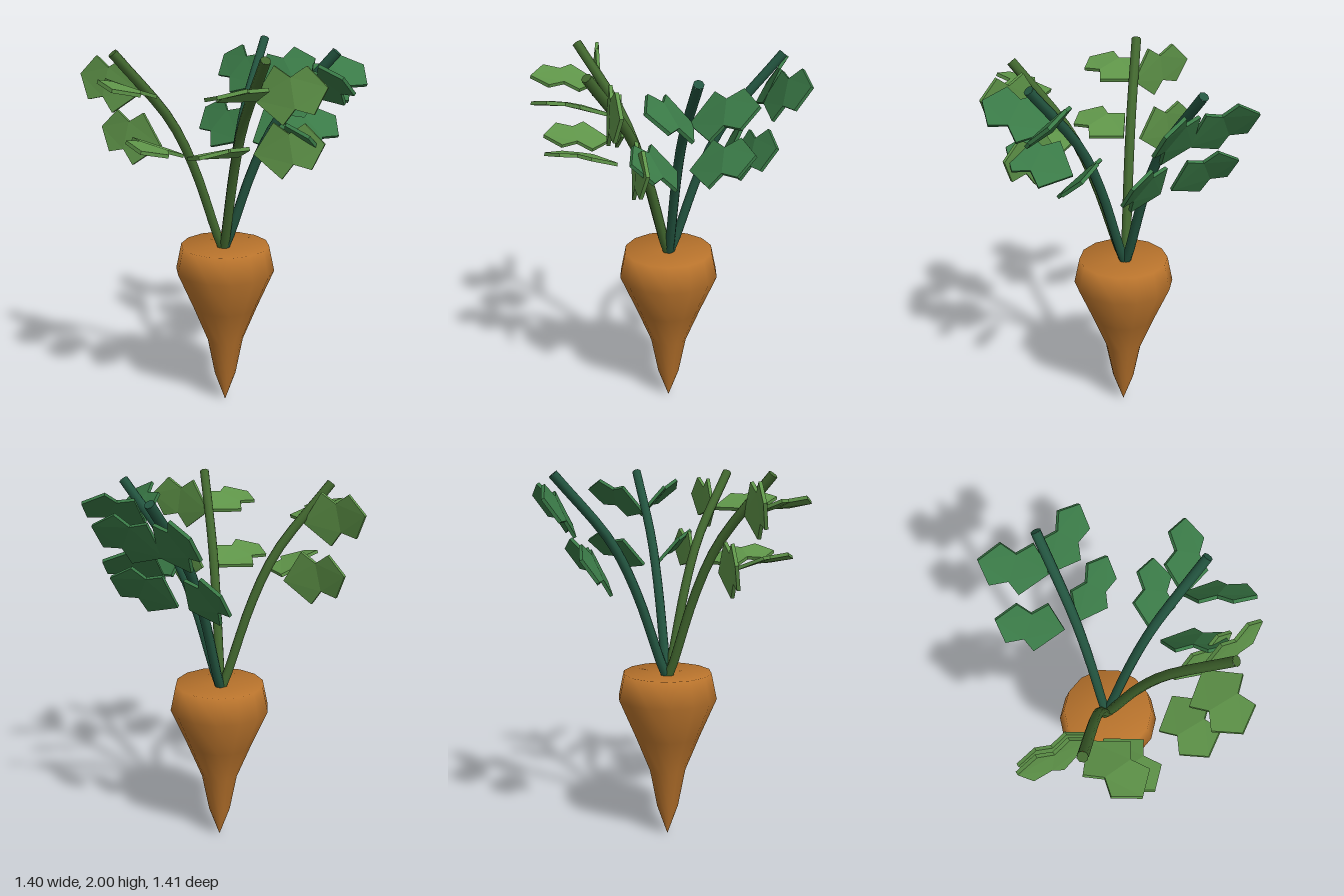
import * as THREE from 'three';

const V = (x, y, z) => new THREE.Vector3(x, y, z);
const mat = color => new THREE.MeshStandardMaterial({ color });

// Thin five-pointed leaf, base at the origin, growing along +y, face towards +z
function leafGeometry() {
  const half = [[0.14, 0.11], [0.075, 0.18], [0.113, 0.265]];
  const outline = [[0, -0.02], ...half, [0, 0.345], ...half.map(([x, y]) => [-x, y]).reverse()];
  const shape = new THREE.Shape(outline.map(([x, y]) => new THREE.Vector2(x, y)));
  const geo = new THREE.ExtrudeGeometry(shape, { depth: 0.018, bevelEnabled: false });
  const p = geo.attributes.position;
  // arch the blade along its length
  for (let i = 0; i < p.count; i++) {
    const s = THREE.MathUtils.clamp(p.getY(i) / 0.345, 0, 1);
    p.setZ(i, p.getZ(i) - 0.009 + 0.02 * Math.sin(Math.PI * s));
  }
  geo.computeVertexNormals();
  return geo;
}

// Place a leaf at a base point, along a direction and facing a normal
function makeLeaf(geo, material, base, dir, normal) {
  const d = dir.clone().normalize();
  const x = d.clone().cross(normal).normalize();
  const n = x.clone().cross(d);
  const leaf = new THREE.Mesh(geo, material);
  leaf.name = 'leaf';
  leaf.applyMatrix4(new THREE.Matrix4().makeBasis(x, d, n).setPosition(base));
  return leaf;
}

// Mirror leaf vectors across the upright plane with the given heading
function mirrored(leaves, degrees) {
  const a = THREE.MathUtils.degToRad(degrees);
  const across = V(-Math.sin(a), 0, Math.cos(a));
  return leaves.map(vectors => vectors.map(v => v.clone().reflect(across)));
}

export function createModel() {
  const model = new THREE.Group();
  model.name = 'carrot';

  // Root: tapered body with a slightly sunken crown
  const profile = [[0, 0], [0.06, 0.17], [0.1, 0.38], [0.18, 0.58], [0.27, 0.79], [0.24, 0.932], [0, 0.915]];
  const root = new THREE.Mesh(
    new THREE.LatheGeometry(profile.map(([r, y]) => new THREE.Vector2(r, y)), 14), mat(0xb8732c));
  root.name = 'root';
  root.position.z = -0.015;
  model.add(root);

  const leafGeo = leafGeometry();
  const paleLeaf = mat(0x5f9549), darkLeaf = mat(0x3a7a47);
  const paleStem = mat(0x42682f), darkStem = mat(0x235540);

  // Stem curve as [distance from centre, height]
  const stemPath = [[0.0, 0.9], [0.03, 0.97], [0.17, 1.38], [0.3, 1.64], [0.59, 1.985]];

  // Per leaf: direction, normal, offset of the upper copy, offset of the lower copy
  const sideLeaf = [
    [V(0.2, 0.12, -0.25), V(0.4, 0.75, 0.55), V(0.015, -0.02, -0.01), V(0.03, -0.01, -0.05)],
  ];
  const backLeaf = [
    [V(0.27, 0.13, -0.125), V(0.17, 0.5, 0.87), V(0.01, -0.055, -0.05), V(0.055, -0.055, -0.035)],
  ];
  const frontLeaves = [
    [V(0.34, 0.07, 0), V(0, 0.1, 1), V(0.01, 0, -0.01), V(0.075, 0, -0.005)],
    [V(-0.065, 0.05, 0.31), V(-0.25, 1, -0.1), V(0, 0, 0.015), V(-0.01, 0, 0.083)],
  ];

  // Each stalk: heading in degrees from +x towards +z
  const stalks = [
    ['leftStalk', 0, darkStem, darkLeaf, [...sideLeaf, ...mirrored(sideLeaf, 0)]],
    ['backStalk', -85, darkStem, darkLeaf, [...backLeaf, ...mirrored(backLeaf, -85)]],
    ['frontLeftStalk', 52.5, paleStem, paleLeaf, frontLeaves],
    ['frontRightStalk', 137, paleStem, paleLeaf, mirrored(frontLeaves, 94)],
  ];

  for (const [name, degrees, stemMat, leafMat, leaves] of stalks) {
    const a = THREE.MathUtils.degToRad(degrees);
    const at = (r, y) => V(-0.01 + r * Math.cos(a), y, -0.018 + r * Math.sin(a));
    const stalk = new THREE.Group();
    stalk.name = name;

    // Stem with a closed tip
    const curve = new THREE.CatmullRomCurve3(stemPath.map(([r, y]) => at(r, y)));
    const stem = new THREE.Mesh(new THREE.TubeGeometry(curve, 12, 0.026, 8), stemMat);
    stem.name = 'stem';
    const tip = new THREE.Mesh(new THREE.CircleGeometry(0.026, 8), stemMat);
    tip.name = 'stemTip';
    tip.position.copy(curve.getPoint(1));
    tip.quaternion.setFromUnitVectors(V(0, 0, 1), curve.getTangent(1));
    stalk.add(stem, tip);

    // Upper and lower pair of leaves
    for (const [dir, normal, upper, lower] of leaves) {
      stalk.add(makeLeaf(leafGeo, leafMat, at(0.46, 1.79).add(upper), dir, normal));
      stalk.add(makeLeaf(leafGeo, leafMat, at(0.3, 1.5).add(lower), dir, normal));
    }
    model.add(stalk);
  }
  return model;
}
